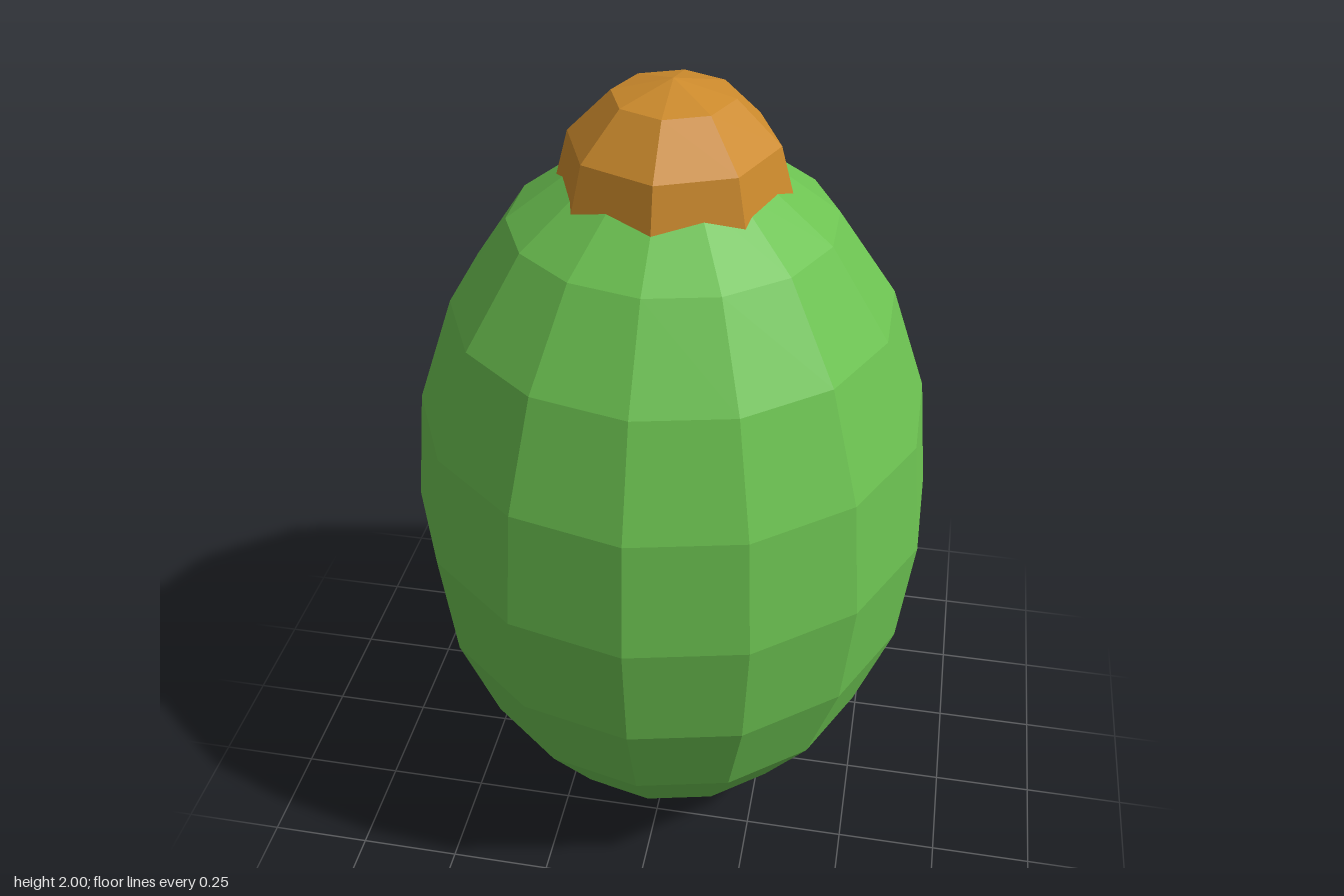
import * as THREE from 'three';

// Faceted ellipsoid made from a low-poly sphere
function facetedBall(name, color, sides, rings, turn, radius, halfHeight, centreY) {
  const geometry = new THREE.SphereGeometry(1, sides, rings);
  geometry.rotateY(turn);
  geometry.scale(radius, halfHeight, radius);
  const mesh = new THREE.Mesh(
    geometry,
    new THREE.MeshStandardMaterial({ color, flatShading: true })
  );
  mesh.name = name;
  mesh.position.y = centreY;
  return mesh;
}

export function createModel() {
  const model = new THREE.Group();
  model.name = 'fruit';

  // Tall fruit body: 14 sides with corners pointing along z
  model.add(facetedBall('fruitBody', 0x6cc251, 14, 10, Math.PI / 2, 0.63, 0.93, 0.93));

  // Rounded stem cap, its lower half sunk into the body
  model.add(facetedBall('stemCap', 0xcc8a2c, 8, 6, 0, 0.27, 0.27, 1.73));

  return model;
}
